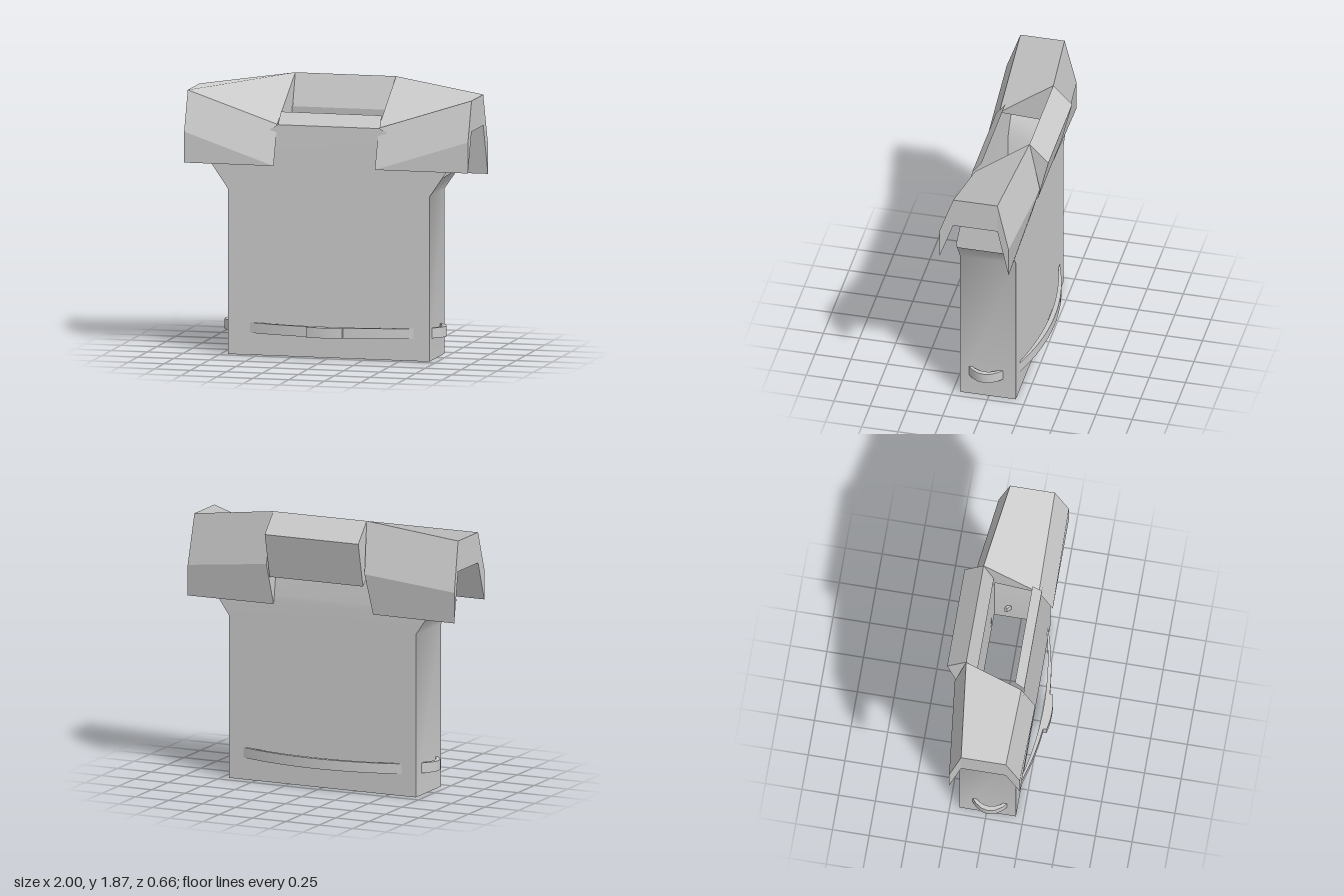
import * as THREE from 'three';
import { toCreasedNormals } from 'three/addons/utils/BufferGeometryUtils.js';

const grey = new THREE.MeshStandardMaterial({ color: 0xcccccc, side: THREE.DoubleSide });

// Mesh from a list of polygons (arrays of [x, y, z]), each with one flat normal;
// a crease angle smooths the edges below it instead
function polyMesh(name, polys, crease) {
  const pos = [], nor = [];
  for (const p of polys) {
    const [a, b, c, d] = p.map(q => new THREE.Vector3(...q));
    const n = c.sub(a).cross(d.sub(b)).normalize().toArray();
    for (let i = 1; i < p.length - 1; i++) {
      pos.push(...p[0], ...p[i], ...p[i + 1]);
      nor.push(...n, ...n, ...n);
    }
  }
  let geo = new THREE.BufferGeometry();
  geo.setAttribute('position', new THREE.Float32BufferAttribute(pos, 3));
  geo.setAttribute('normal', new THREE.Float32BufferAttribute(nor, 3));
  if (crease) geo = toCreasedNormals(geo, crease);
  const mesh = new THREE.Mesh(geo, grey);
  mesh.name = name;
  return mesh;
}

// Solid between a ring at lower x and a matching ring at higher x
function loft(name, a, b, caps) {
  const polys = a.map((p, i) => {
    const j = (i + 1) % a.length;
    return [p, b[i], b[j], a[j]];
  });
  for (const cap of caps) {
    polys.push(cap.map(i => a[i]));
    polys.push(cap.map(i => b[i]).reverse());
  }
  return polyMesh(name, polys);
}

// Hollow body, open at the hem, the neck and the armholes
function torso() {
  // y, half width, front z, back z
  const rows = [
    [0, 0.7, 0.2, -0.185], [1.12, 0.7, 0.2, -0.185], [1.255, 0.793, 0.2, -0.185],
    [1.295, 0.82, 0.2, -0.183], [1.57, 0.355, 0.198, -0.14], [1.65, 0.35, 0.135, -0.13],
  ];
  const polys = [];
  for (let i = 0; i < rows.length - 1; i++) {
    const [y, w, f, k] = rows[i], [Y, W, F, K] = rows[i + 1];
    polys.push([[-w, y, f], [w, y, f], [W, Y, F], [-W, Y, F]]);
    polys.push([[w, y, k], [-w, y, k], [-W, Y, K], [W, Y, K]]);
    if (i < 2) {
      polys.push([[w, y, f], [w, y, k], [W, Y, K], [W, Y, F]]);
      polys.push([[-w, y, k], [-w, y, f], [-W, Y, F], [-W, Y, K]]);
    }
  }
  return polyMesh('torso', polys, 0.64);
}

// Arched shoulder sleeve: outer skin from front to back, then the underside
function sleeve(side) {
  // neck end: x on the left sleeve, x on the right sleeve, y, z
  const neck = [
    [0.34, 0.365, 1.3, 0.275], [0.34, 0.365, 1.3, 0.275], [0.34, 0.365, 1.57, 0.18],
    [0.36, 0.34, 1.87, -0.2], [0.375, 0.36, 1.52, -0.275], [0.36, 0.385, 1.23, -0.195],
    [0.36, 0.345, 1.57, -0.125], [0.34, 0.365, 1.57, 0.18],
  ];
  // cuff end: y, z
  const cuff = [[1.3, 0.275], [1.51, 0.275], [1.78, 0.18], [1.78, -0.125],
    [1.44, -0.205], [1.23, -0.205], [1.57, -0.125], [1.57, 0.18]];
  const inner = neck.map(([l, r, y, z]) => [side > 0 ? l : -r, y, z]);
  const outer = cuff.map(([y, z]) => [side * (z < -0.2 ? 0.998 : 0.987), y, z]);
  const caps = [[0, 1, 2, 7], [2, 3, 6, 7], [3, 4, 5, 6]];
  return side > 0 ? loft('leftSleeve', inner, outer, caps)
    : loft('rightSleeve', outer, inner, caps);
}

// Raised collar behind the neck
function collar() {
  const profile = [[1.65, -0.13], [1.87, -0.2], [1.735, -0.33], [1.43, -0.257], [1.52, -0.15]];
  const ring = x => profile.map(([y, z]) => [x, y, z]);
  return loft('backCollar', ring(-0.34), ring(0.36), [[0, 1, 2, 3, 4]]);
}

// Bowed strip, thin at its ends; arcs are given as [half width, bulge, base]
function bow(name, outer, inner, top, height, steps) {
  const arc = ([w, h, base], dir) => Array.from({ length: steps + 1 }, (_, i) => {
    const t = dir * (2 * i / steps - 1);
    return new THREE.Vector2(t * w, base + h * (1 - t * t));
  });
  const shape = new THREE.Shape([...arc(outer, -1), ...arc(inner, 1)]);
  let geo = new THREE.ExtrudeGeometry(shape, { depth: height, bevelEnabled: false });
  geo.rotateX(Math.PI / 2).translate(0, top, 0);
  geo = toCreasedNormals(geo, 0.5);
  const mesh = new THREE.Mesh(geo, grey);
  mesh.name = name;
  return mesh;
}

export function createModel() {
  const model = new THREE.Group();
  model.name = 'tunic';
  model.add(torso(), sleeve(1), sleeve(-1), collar());

  // Belt strips standing off the body
  const front = bow('frontBelt', [0.6, 0.105, 0.19], [0.57, 0.078, 0.188], 0.22, 0.07, 16);
  front.position.x = 0.02;
  const back = bow('backBelt', [0.6, 0.108, 0.182], [0.57, 0.078, 0.18], 0.22, 0.07, 16);
  back.rotation.y = Math.PI;
  model.add(front, back);
  for (const side of [1, -1]) {
    const loop = bow(side > 0 ? 'leftBeltLoop' : 'rightBeltLoop',
      [0.135, 0.09, 0.68], [0.115, 0.06, 0.678], 0.22, 0.07, 6);
    loop.rotation.y = side * Math.PI / 2;
    loop.position.z = 0.022;
    model.add(loop);
  }

  // Buckle plate
  const buckle = bow('buckle', [0.125, 0.015, 0.313], [0.13, 0.01, 0.28], 0.22, 0.07, 6);
  buckle.position.x = -0.005;
  model.add(buckle);
  return model;
}
